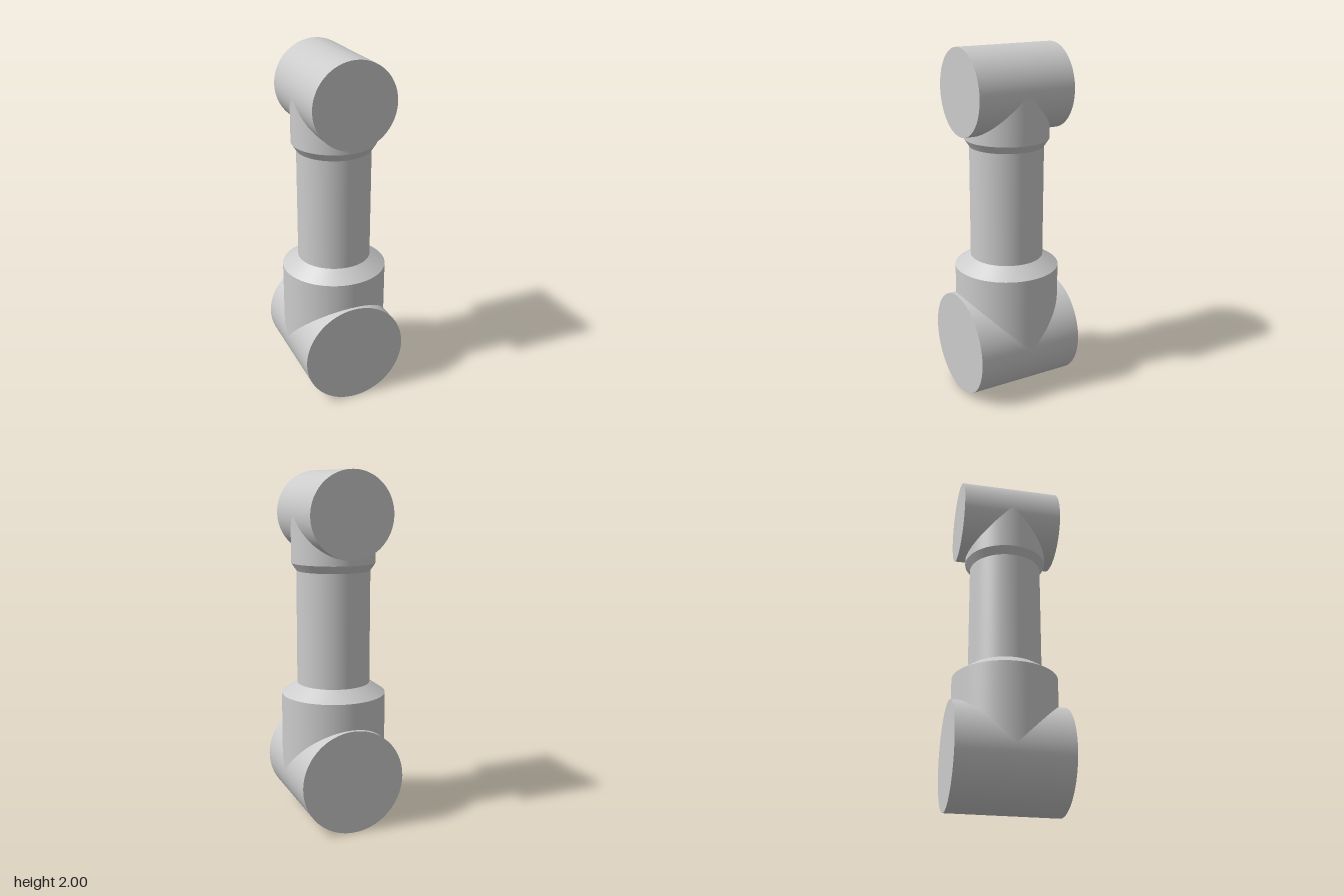
import * as THREE from 'three';

const SIDES = 96;
const material = new THREE.MeshStandardMaterial({ color: 0xcccccc });

// Closed cylinder lying along z
function crossCylinder(name, radius, length, y) {
  const geometry = new THREE.CylinderGeometry(radius, radius, length, SIDES);
  geometry.rotateX(Math.PI / 2);
  const mesh = new THREE.Mesh(geometry, material);
  mesh.name = name;
  mesh.position.y = y;
  return mesh;
}

// Open upright section between two heights
function section(name, y0, r0, y1, r1) {
  const geometry = new THREE.CylinderGeometry(r1, r0, y1 - y0, SIDES, 1, true);
  geometry.translate(0, (y0 + y1) / 2, 0);
  const mesh = new THREE.Mesh(geometry, material);
  mesh.name = name;
  return mesh;
}

// Upright section whose end at axisY is cut to saddle an equal-radius cross cylinder
function saddle(name, radius, axisY, endY) {
  const mesh = section(name, Math.min(axisY, endY), radius, Math.max(axisY, endY), radius);
  const p = mesh.geometry.attributes.position;
  const dir = Math.sign(endY - axisY);
  for (let i = 0; i < p.count; i++) {
    if (Math.abs(p.getY(i) - axisY) < 1e-4) p.setY(i, axisY + dir * Math.abs(p.getZ(i)));
  }
  return mesh;
}

export function createModel() {
  const group = new THREE.Group();
  group.name = 'armLink';

  const lowerR = 0.298, upperR = 0.237, tubeR = 0.208;
  const lowerY = lowerR, upperY = 2 - upperR;

  group.add(
    // Joint housings at both ends
    crossCylinder('lowerJoint', lowerR, 0.636, lowerY),
    crossCylinder('upperJoint', upperR, 0.572, upperY),
    // Collars growing out of the joints
    saddle('lowerCollar', lowerR, lowerY, 0.747),
    saddle('upperCollar', upperR, upperY, 1.493),
    // Tapers and the tube between them
    section('lowerTaper', 0.747, lowerR, 0.808, tubeR),
    section('linkTube', 0.808, tubeR, 1.45, tubeR),
    section('upperTaper', 1.45, tubeR, 1.493, upperR)
  );
  return group;
}
